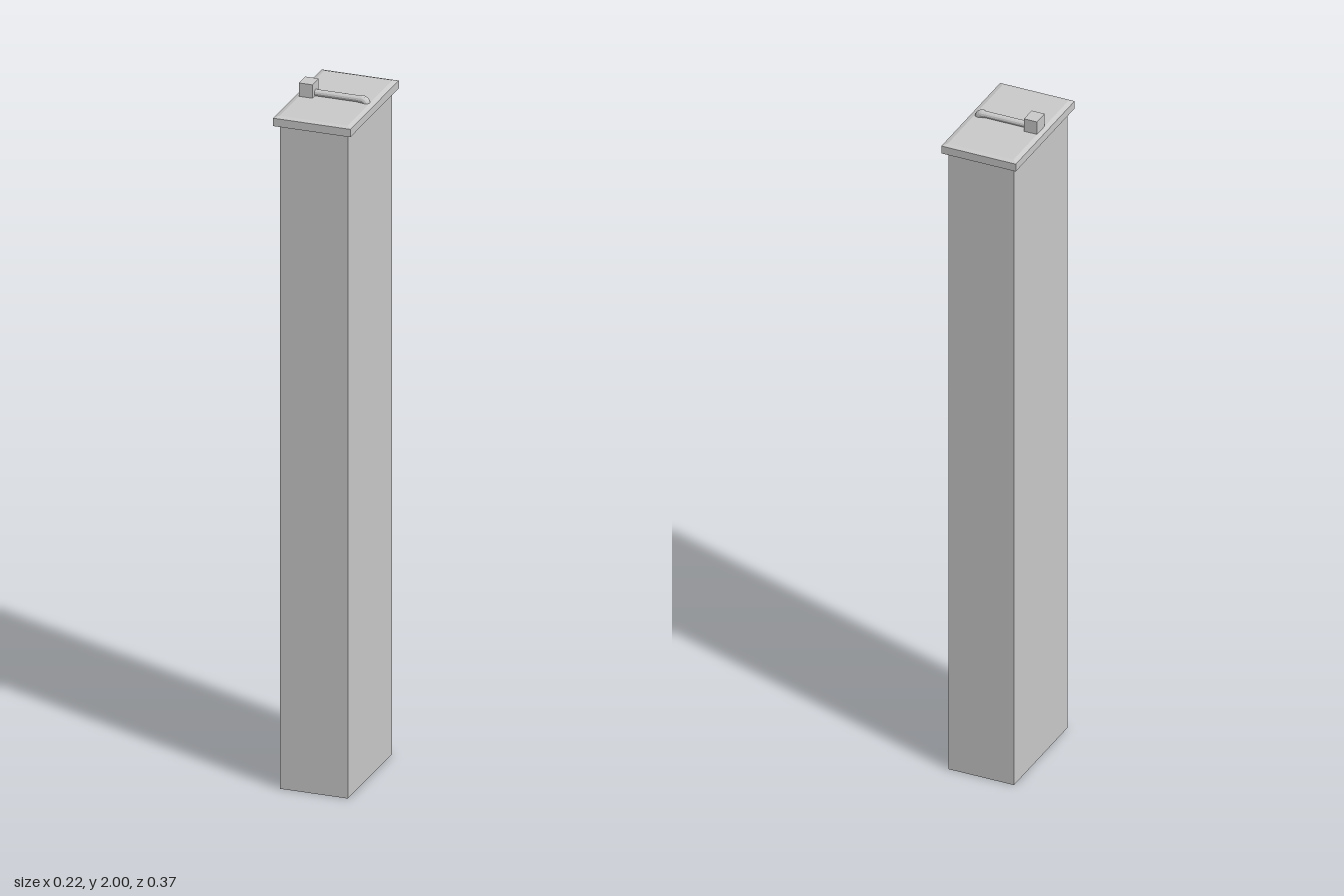
import * as THREE from 'three';

const material = new THREE.MeshStandardMaterial({ color: 0xcccccc, flatShading: true });

function add(group, name, geometry, x = 0, y = 0, z = 0) {
  const mesh = new THREE.Mesh(geometry, material);
  mesh.name = name;
  mesh.position.set(x, y, z);
  group.add(mesh);
  return mesh;
}

// Box standing on its base, its top face inset on every side
function taperedBox(w, h, d, inset) {
  const geometry = new THREE.BoxGeometry(w, h, d).translate(0, h / 2, 0);
  const p = geometry.attributes.position;
  for (let i = 0; i < p.count; i++) {
    if (p.getY(i) > h / 2) {
      p.setX(i, p.getX(i) - Math.sign(p.getX(i)) * inset);
      p.setZ(i, p.getZ(i) - Math.sign(p.getZ(i)) * inset);
    }
  }
  geometry.computeVertexNormals();
  return geometry;
}

export function createModel() {
  const group = new THREE.Group();

  // Tall rectangular column
  add(group, 'column', new THREE.BoxGeometry(0.196, 1.936, 0.336), 0, 0.968, 0);

  // Overhanging cap with a shallow chamfered rim
  const cap = new THREE.Group();
  cap.name = 'cap';
  add(cap, 'capSlab', new THREE.BoxGeometry(0.222, 0.023, 0.368), 0, 1.9455, 0);
  add(cap, 'capBevel', taperedBox(0.222, 0.004, 0.368, 0.013), 0, 1.957, 0);
  group.add(cap);

  // Block that holds the handle rod
  add(group, 'handleBlock', new THREE.BoxGeometry(0.039, 0.041, 0.048), -0.0785, 1.9795, 0);

  // Rod running from the block
  const rod = add(group, 'handleRod', new THREE.CylinderGeometry(0.0095, 0.0095, 0.142, 12), 0.009, 1.9685, 0);
  rod.rotation.z = Math.PI / 2;

  // Slightly thicker elbow turning down into the cap
  const bend = new THREE.CatmullRomCurve3([
    new THREE.Vector3(0.068, 1.9685, 0),
    new THREE.Vector3(0.08, 1.9675, 0),
    new THREE.Vector3(0.086, 1.961, 0),
    new THREE.Vector3(0.087, 1.95, 0),
  ]);
  add(group, 'handleElbow', new THREE.TubeGeometry(bend, 8, 0.0115, 12, false));

  return group;
}
